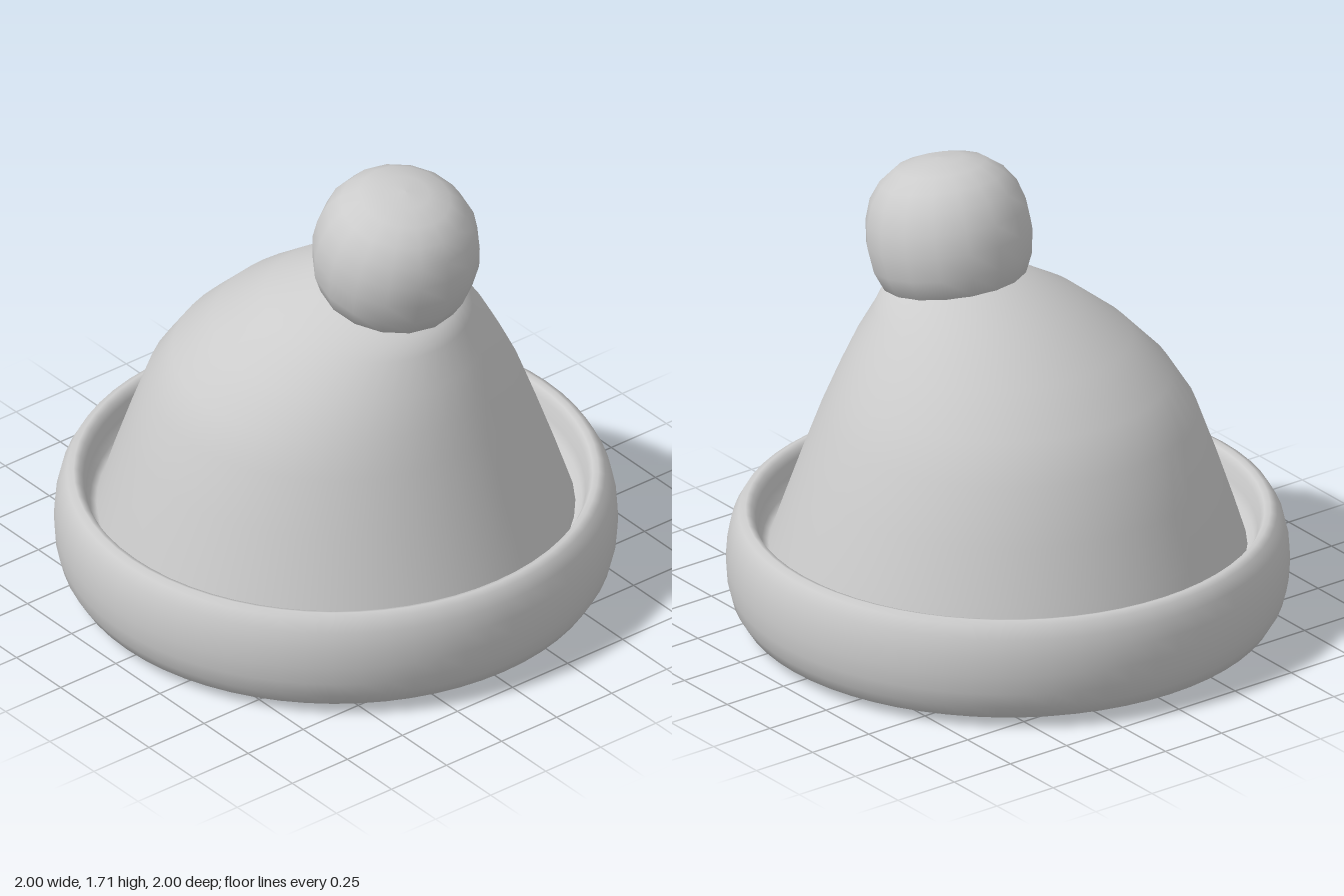
import * as THREE from 'three';

const material = new THREE.MeshStandardMaterial({ color: 0xcccccc, side: THREE.DoubleSide });

function addMesh(group, name, geometry) {
  const mesh = new THREE.Mesh(geometry, material);
  mesh.name = name;
  group.add(mesh);
  return mesh;
}

function lathe(points, segments) {
  return new THREE.LatheGeometry(points.map(([r, y]) => new THREE.Vector2(r, y)), segments);
}

// Skin over round rings [radius, x, y, z, lean]; lean is the drop of the +x end
function loft(rings, segments) {
  const positions = [], indices = [];
  rings.forEach(([r, x, y, z, lean], j) => {
    for (let i = 0; i < segments; i++) {
      const a = (i / segments) * Math.PI * 2;
      positions.push(x + r * Math.cos(a), y - lean * Math.cos(a), z + r * Math.sin(a));
      if (j === rings.length - 1) continue;
      const a0 = j * segments + i, a1 = j * segments + (i + 1) % segments;
      indices.push(a0, a0 + segments, a1, a1, a0 + segments, a1 + segments);
    }
  });
  const geometry = new THREE.BufferGeometry();
  geometry.setAttribute('position', new THREE.Float32BufferAttribute(positions, 3));
  geometry.setIndex(indices);
  geometry.computeVertexNormals();
  return geometry;
}

export function createModel() {
  const hat = new THREE.Group();
  hat.name = 'bobbleHat';

  // Rolled brim with a closed underside and a groove inside the lip
  addMesh(hat, 'brim', lathe([
    [0, 0], [0.6, 0.002], [0.84, 0.01], [0.9, 0.016], [0.95, 0.04], [0.98, 0.09],
    [0.995, 0.15], [1, 0.22], [0.995, 0.29], [0.98, 0.355], [0.955, 0.4], [0.93, 0.412],
    [0.91, 0.405], [0.895, 0.38], [0.885, 0.33], [0.872, 0.29], [0.85, 0.275], [0.8, 0.27],
  ], 64));

  // Dome drooping towards +x
  addMesh(hat, 'crown', loft([
    [0.85, 0, 0.27, 0, 0],
    [0.805, -0.003, 0.41, 0, 0],
    [0.74, -0.002, 0.6, 0.003, 0],
    [0.667, 0, 0.8, 0.005, 0.002],
    [0.595, 0.025, 0.93, 0.003, 0.01],
    [0.495, 0.068, 1.06, -0.015, 0.02],
    [0.37, 0.13, 1.18, -0.04, 0.033],
    [0.26, 0.205, 1.255, -0.075, 0.048],
    [0.14, 0.22, 1.285, -0.08, 0.028],
    [0.001, 0.23, 1.3, -0.08, 0],
  ], 48));

  // Squarish bobble, tilted with the crown
  const bobble = addMesh(hat, 'bobble', lathe([
    [0, -0.23], [0.12, -0.225], [0.21, -0.2], [0.258, -0.16], [0.288, -0.09], [0.3, 0],
    [0.292, 0.08], [0.268, 0.155], [0.225, 0.215], [0.165, 0.26], [0.085, 0.283], [0, 0.288],
  ], 16));
  bobble.position.set(0.235, 1.42, -0.083);
  bobble.rotation.z = -0.2;

  return hat;
}
